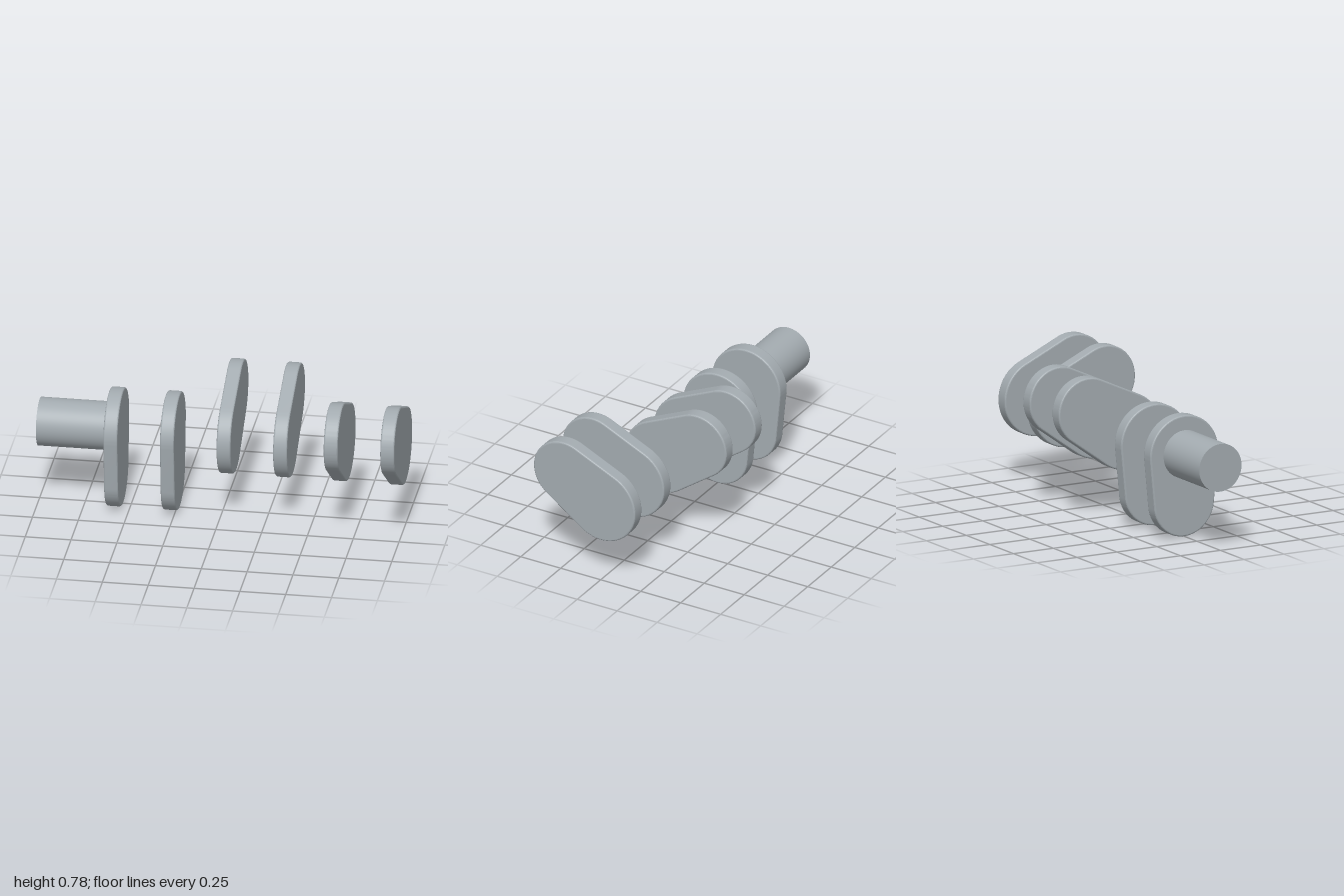
import * as THREE from 'three';
import { toCreasedNormals } from 'three/addons/utils/BufferGeometryUtils.js';

const AXIS_Y = 0.457;       // height of the shaft axis
const BIG_R = 0.213;        // web radius around the shaft
const SMALL_R = 0.187;      // web radius around the crank throw
const THROW = 0.27;         // distance between both centres
const THICK = 0.077;
const BEVEL = 0.009;

// Tapered, round-ended plate, lobe pointing down, thickness along x
function webGeometry() {
  const a = Math.asin((BIG_R - SMALL_R) / THROW);
  const shape = new THREE.Shape();
  shape.absarc(0, 0, BIG_R - BEVEL, -a, Math.PI + a, false);
  shape.absarc(0, -THROW, SMALL_R - BEVEL, Math.PI + a, 2 * Math.PI - a, false);
  const geo = new THREE.ExtrudeGeometry(shape, {
    depth: THICK - 2 * BEVEL,
    curveSegments: 32,
    bevelEnabled: true,
    bevelSize: BEVEL,
    bevelThickness: BEVEL,
    bevelSegments: 3,
  });
  geo.translate(0, 0, BEVEL - THICK / 2);
  geo.rotateY(Math.PI / 2);
  return toCreasedNormals(geo, 0.2);
}

export function createModel() {
  const group = new THREE.Group();
  group.name = 'crankshaft';
  const steel = new THREE.MeshStandardMaterial({ color: 0xa3abb0 });
  steel.name = 'steel grey';

  // Six webs in three pairs, each pair turned by a third of a circle
  const geo = webGeometry();
  const angles = [0, 2 * Math.PI / 3, -2 * Math.PI / 3];
  for (let i = 0; i < 6; i++) {
    const web = new THREE.Mesh(geo, steel);
    web.name = `crankWeb${i + 1}`;
    web.position.set(-0.582 + i * 0.3087, AXIS_Y, 0);
    web.rotation.x = angles[Math.floor(i / 2)];
    group.add(web);
  }

  // End shaft running into the first web
  const length = 0.42;
  const shaft = new THREE.Mesh(new THREE.CylinderGeometry(0.132, 0.132, length, 64), steel);
  shaft.name = 'endShaft';
  shaft.rotation.z = Math.PI / 2;
  shaft.position.set(-1 + length / 2, AXIS_Y, 0);
  group.add(shaft);

  return group;
}
